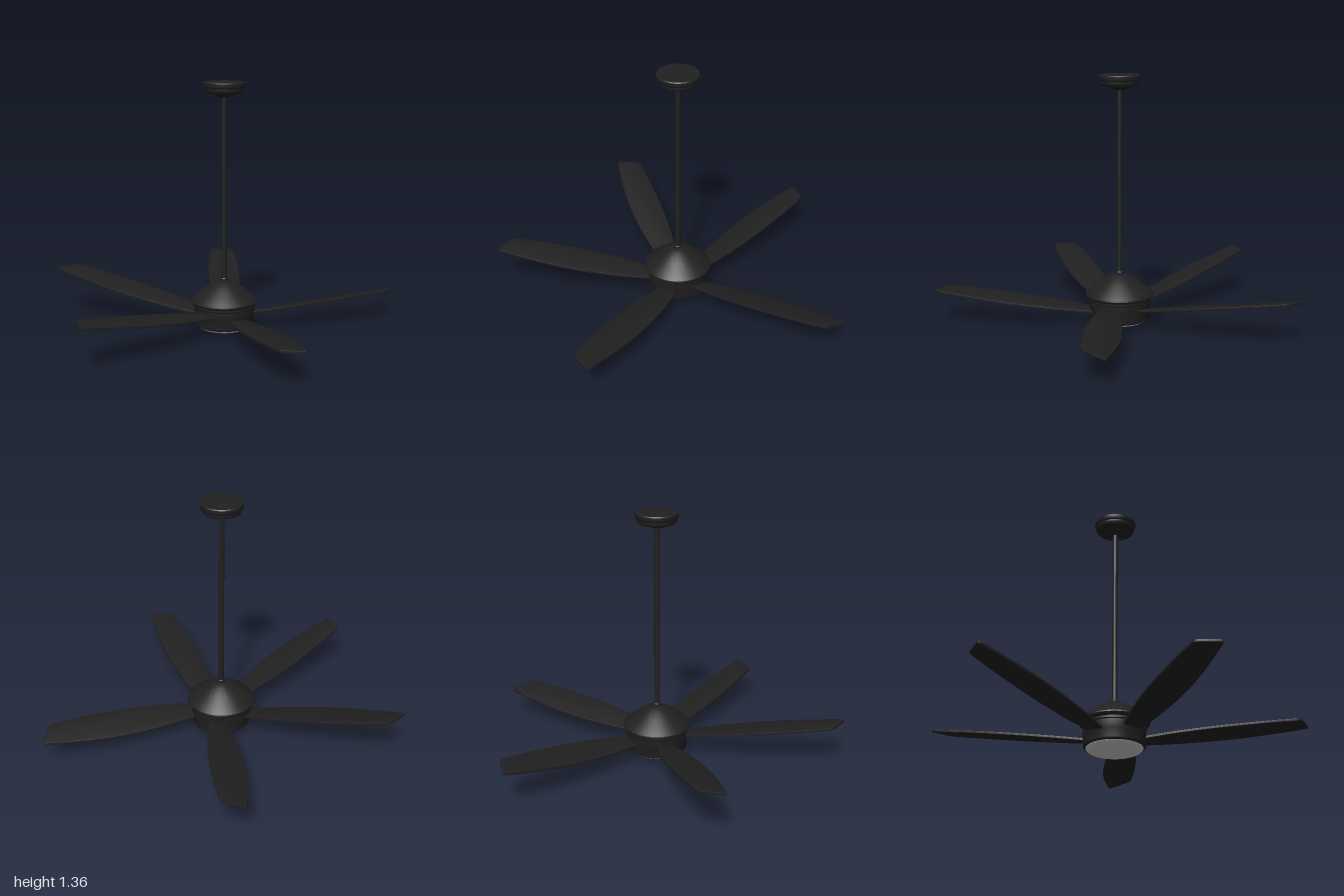
import * as THREE from 'three';
import { toCreasedNormals } from 'three/addons/utils/BufferGeometryUtils.js';

const black = new THREE.MeshStandardMaterial({ color: 0x202020 });
const grey = new THREE.MeshStandardMaterial({ color: 0xcccccc });

// Turned part from [radius, height] pairs, listed bottom to top
function turned(name, pairs, material = black, segments = 64) {
  const points = pairs.map(([r, y]) => new THREE.Vector2(r, y));
  const geometry = toCreasedNormals(new THREE.LatheGeometry(points, segments), 0.5);
  const mesh = new THREE.Mesh(geometry, material);
  mesh.name = name;
  return mesh;
}

// Swept blade outline: x runs outward from the hub, y across the blade
function bladeGeometry() {
  const lead = [[0.12, -0.06], [0.18, -0.067], [0.3, -0.077], [0.45, -0.08], [0.6, -0.073],
    [0.73, -0.058], [0.88, -0.03], [1.0, -0.003]];
  const trail = [[0.95, 0.121], [0.8, 0.121], [0.645, 0.112], [0.52, 0.102], [0.4, 0.086],
    [0.28, 0.065], [0.18, 0.04], [0.12, 0.03]];
  const vectors = (list) => list.map(([x, y]) => new THREE.Vector2(x, y));
  const shape = new THREE.Shape();
  shape.moveTo(...lead[0]);
  shape.splineThru(vectors(lead.slice(1)));
  shape.quadraticCurveTo(1.02, 0.002, 1.011, 0.018); // rounded tip corners
  shape.lineTo(0.96, 0.108);
  shape.quadraticCurveTo(0.952, 0.12, 0.935, 0.121);
  shape.splineThru(vectors(trail.slice(1)));
  shape.closePath();
  const geometry = new THREE.ExtrudeGeometry(shape, {
    depth: 0.008, curveSegments: 4, bevelEnabled: true,
    bevelThickness: 0.003, bevelSize: 0.003, bevelOffset: -0.003, bevelSegments: 2,
  });
  geometry.translate(0, 0, -0.004);
  return toCreasedNormals(geometry, 0.6);
}

// Places a blade by heading, root shift, root height, rise and roll
function bladeMatrix({ heading, shift, root, rise, roll }) {
  const a = THREE.MathUtils.degToRad(heading);
  const c = Math.cos(a), s = Math.sin(a);
  const place = new THREE.Matrix4().set(
    c, -s, 0, 0,
    0, 0, -1, 0,
    s, c, 0, 0,
    0, 0, 0, 1);
  const lean = new THREE.Matrix4().set(
    1, 0, 0, 0,
    -shift, 1, 0, shift,
    -rise, -roll, 1, 0.17 * rise - root,
    0, 0, 0, 1);
  return place.multiply(lean);
}

export function createModel() {
  const fan = new THREE.Group();
  fan.name = 'ceilingFan';

  // Ceiling mount
  fan.add(turned('canopy', [
    [0, 1.28], [0.03, 1.281], [0.045, 1.287], [0.058, 1.297], [0.085, 1.3], [0.1, 1.307],
    [0.106, 1.318], [0.106, 1.328], [0.111, 1.334], [0.113, 1.342], [0.113, 1.356],
    [0.109, 1.361], [0, 1.361],
  ]));

  // Hanging rod and its collar
  fan.add(turned('downrod', [[0.0145, 0.27], [0.0145, 1.29]], black, 32));
  fan.add(turned('rodCollar', [[0.021, 0.26], [0.021, 0.29], [0.018, 0.295], [0, 0.295]], black, 32));

  // Domed cover above the motor
  fan.add(turned('motorCover', [
    [0, 0.152], [0.168, 0.152], [0.18, 0.158], [0.185, 0.166], [0.183, 0.173], [0.165, 0.19],
    [0.135, 0.214], [0.105, 0.237], [0.08, 0.254], [0.055, 0.268], [0.035, 0.277], [0, 0.281],
  ]));

  // Motor drum
  fan.add(turned('motorHousing', [
    [0, 0.03], [0.153, 0.03], [0.16, 0.036], [0.162, 0.045], [0.162, 0.085], [0.164, 0.09],
    [0.164, 0.135], [0.168, 0.14], [0.168, 0.153],
  ]));

  // Shallow light lens under the drum
  const lens = [];
  for (let i = 0; i <= 10; i++) {
    const t = (i / 10) * Math.PI / 2;
    lens.push([0.15 * Math.sin(t), 0.032 - 0.032 * Math.cos(t)]);
  }
  fan.add(turned('lightLens', lens, grey));

  // Five blades, each with its own slight droop and twist
  const blade = bladeGeometry();
  [
    { heading: 11.6, shift: 0.07, root: 0.1, rise: 0.04, roll: 0.23 },
    { heading: 99, shift: 0, root: 0.085, rise: 0.106, roll: 0.06 },
    { heading: 164.6, shift: 0, root: 0.11, rise: 0.14, roll: 0.08 },
    { heading: 230.8, shift: 0.025, root: 0.1, rise: 0.19, roll: 0.12 },
    { heading: 297.3, shift: 0.06, root: 0.1, rise: 0.135, roll: 0.16 },
  ].forEach((pose, i) => {
    const mesh = new THREE.Mesh(blade.clone().applyMatrix4(bladeMatrix(pose)), black);
    mesh.name = `blade${i + 1}`;
    fan.add(mesh);
  });

  fan.position.z = -0.055;
  const model = new THREE.Group();
  model.add(fan);
  return model;
}
